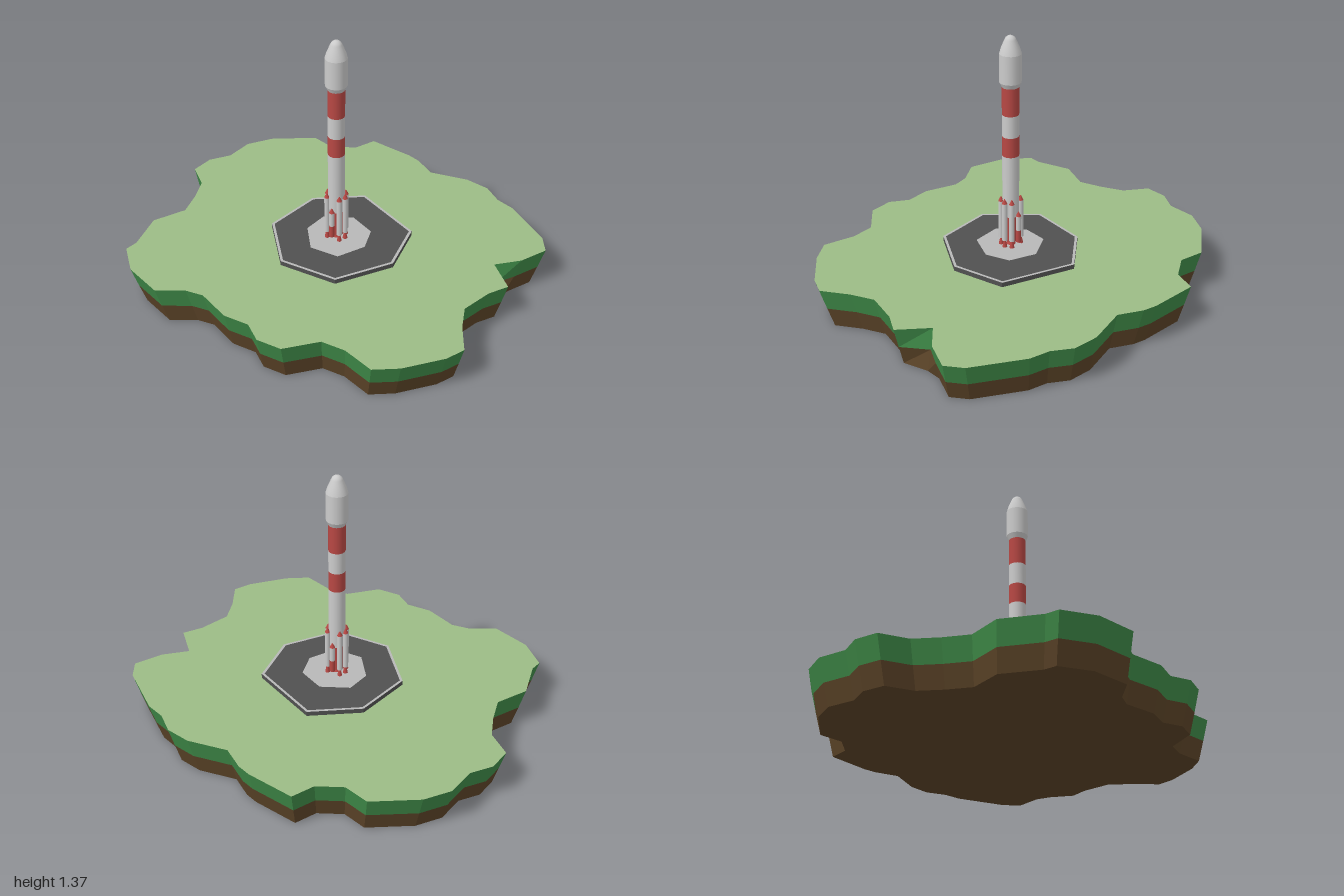
import * as THREE from 'three';

const paint = (color, flatShading = false) => new THREE.MeshStandardMaterial({ color, flatShading });
const GRASS = paint(0x9cbc86), TURF = paint(0x3f8a48, true), SOIL = paint(0x5c4428, true);
const ASPHALT = paint(0x505050, true), CONCRETE = paint(0xb8b8b8);
const WHITE = paint(0xcccccc), RED = paint(0xb84844);

function add(parent, name, geometry, material) {
  const mesh = new THREE.Mesh(geometry, material);
  mesh.name = name;
  parent.add(mesh);
  return mesh;
}

// Outlines are [x, z] corners, clockwise seen from above
const scaled = (pts, s, cx = 0, cz = 0) => pts.map(([x, z]) => [cx + (x - cx) * s, cz + (z - cz) * s]);

// Flat horizontal face, looking up or down, with optional hole
function cap(pts, y, up = true, hole) {
  const k = up ? -1 : 1;
  const toV = ps => ps.map(([x, z]) => new THREE.Vector2(x, k * z));
  const shape = new THREE.Shape(toV(pts));
  if (hole) shape.holes.push(new THREE.Path(toV(hole)));
  return new THREE.ShapeGeometry(shape).rotateX(k * Math.PI / 2).translate(0, y, 0);
}

// Flat-faced wall between two outlines with matching corners
function wall(low, y0, high, y1) {
  const pos = [];
  low.forEach(([ax, az], i) => {
    const j = (i + 1) % low.length;
    const [bx, bz] = low[j], [cx, cz] = high[i], [dx, dz] = high[j];
    pos.push(bx, y0, bz, ax, y0, az, cx, y1, cz, bx, y0, bz, cx, y1, cz, dx, y1, dz);
  });
  const g = new THREE.BufferGeometry();
  g.setAttribute('position', new THREE.Float32BufferAttribute(pos, 3));
  g.computeVertexNormals();
  return g;
}

const COAST = [
  [-0.24, -0.89], [0.01, -0.85], [0.08, -0.825], [0.19, -0.75], [0.4, -0.78], [0.53, -0.755],
  [0.62, -0.68], [0.72, -0.645], [0.95, -0.47], [1, -0.38], [0.92, -0.245], [0.81, -0.15],
  [0.935, -0.02], [0.87, 0.07], [0.81, 0.23], [0.85, 0.355], [0.92, 0.495], [0.87, 0.585],
  [0.715, 0.74], [0.6, 0.81], [0.44, 0.755], [0.315, 0.755], [0.175, 0.885], [0.045, 0.885],
  [-0.045, 0.815], [-0.18, 0.815], [-0.35, 0.74], [-0.445, 0.75], [-0.58, 0.82], [-0.78, 0.745],
  [-0.9, 0.62], [-0.885, 0.555], [-0.92, 0.355], [-0.825, 0.2], [-0.85, 0.07], [-0.89, -0.055],
  [-1, -0.15], [-0.98, -0.27], [-0.9, -0.365], [-0.875, -0.515], [-0.78, -0.63], [-0.56, -0.76],
  [-0.43, -0.72], [-0.3, -0.78],
];
const NOTCH = 11;
const PAD = [[-0.02, -0.345], [0.34, -0.175], [0.37, 0.11], [0.175, 0.36], [-0.135, 0.36], [-0.335, 0.11], [-0.26, -0.19]];
const INNER = [[0.02, -0.135], [0.155, -0.07], [0.185, 0.06], [0.1, 0.195], [-0.055, 0.195], [-0.15, 0.06], [-0.125, -0.07]];

function island() {
  const g = new THREE.Group();
  g.name = 'island';
  const mid = scaled(COAST, 0.97), base = scaled(COAST, 0.94);
  // the cove fills in towards the bottom
  mid[NOTCH] = [0.83, -0.15];
  base[NOTCH] = [0.855, -0.15];
  add(g, 'grassTop', cap(COAST, 0.215), GRASS);
  add(g, 'turfEdge', wall(mid, 0.105, COAST, 0.215), TURF);
  add(g, 'soilEdge', wall(base, 0, mid, 0.105), SOIL);
  add(g, 'underside', cap(base, 0, false), SOIL);
  return g;
}

function launchPad() {
  const g = new THREE.Group();
  g.name = 'launchPad';
  const inside = scaled(PAD, 0.96, 0.015, 0.03);
  add(g, 'padSide', wall(PAD, 0.21, PAD, 0.24), ASPHALT);
  add(g, 'padRim', cap(PAD, 0.24, true, inside), CONCRETE);
  add(g, 'padSurface', cap(inside, 0.24), ASPHALT);
  add(g, 'padCentre', cap(INNER, 0.242), CONCRETE);
  return g;
}

// Tapered round section between two heights
function section(parent, name, r0, y0, r1, y1, material, sides = 16) {
  const m = add(parent, name, new THREE.CylinderGeometry(r1, r0, y1 - y0, sides), material);
  m.position.y = (y0 + y1) / 2;
  return m;
}

function booster(short) {
  const g = new THREE.Group();
  g.name = short ? 'shortBooster' : 'tallBooster';
  const r = 0.014, top = short ? 0.415 : 0.49, low = short ? 0.268 : 0.28;
  const split = short ? 0.335 : low;
  if (short) section(g, 'boosterBase', r, low, r, split, RED, 10);
  else section(g, 'boosterNozzle', 0.013, 0.242, 0.005, low, RED, 10);
  section(g, 'boosterBody', r, split, r, top, WHITE, 10);
  section(g, 'boosterTip', r, top, 0.002, top + 0.025, RED, 10);
  return g;
}

function rocket() {
  const g = new THREE.Group();
  g.name = 'rocket';
  const R = 0.043;
  // striped body
  [[0.27, 0.41, RED], [0.41, 0.745, WHITE], [0.745, 0.85, RED], [0.85, 0.965, WHITE], [0.965, 1.115, RED]]
    .forEach(([y0, y1, m]) => section(g, 'bodyStripe', R, y0, R, y1, m));
  section(g, 'mainNozzle', 0.025, 0.242, 0.012, 0.275, RED);
  // nose fairing
  section(g, 'fairingCollar', R, 1.11, 0.055, 1.135, WHITE);
  section(g, 'fairingBody', 0.055, 1.135, 0.055, 1.28, WHITE);
  const nose = [[0.055, 1.28], [0.047, 1.307], [0.029, 1.35], [0.023, 1.361], [0.012, 1.369], [0, 1.371]];
  add(g, 'noseCone', new THREE.LatheGeometry(nose.map(p => new THREE.Vector2(...p)), 16), WHITE);
  // eight boosters, the front and back ones short
  for (let i = 0; i < 8; i++) {
    const a = i * Math.PI / 4;
    const b = booster(i % 4 === 0);
    b.position.set(Math.sin(a) * 0.05, 0, Math.cos(a) * 0.05);
    g.add(b);
  }
  g.position.set(0.01, 0, 0.038);
  return g;
}

export function createModel() {
  const model = new THREE.Group();
  model.name = 'rocketIsland';
  model.add(island(), launchPad(), rocket());
  return model;
}
